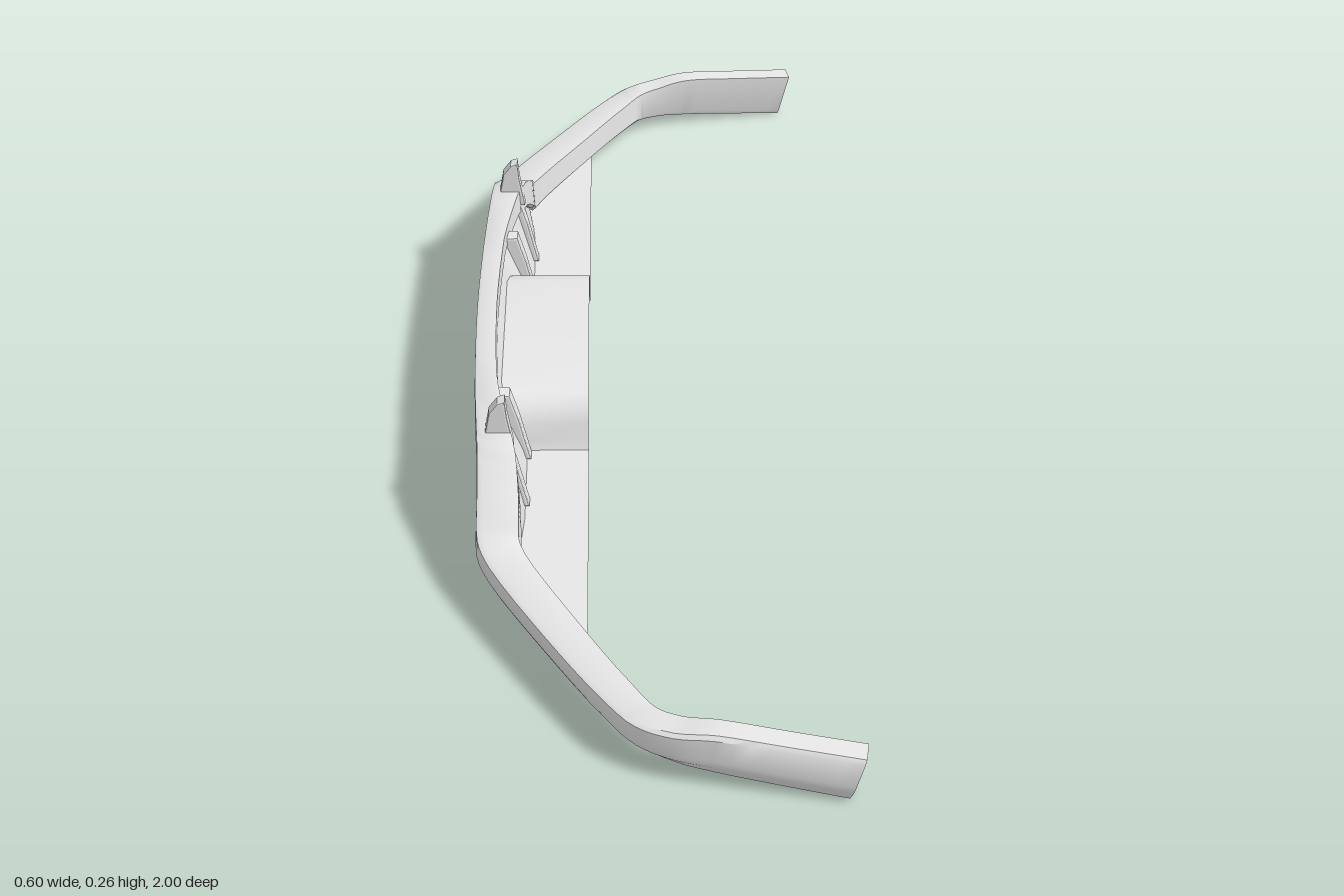
import * as THREE from 'three';
import { toCreasedNormals } from 'three/addons/utils/BufferGeometryUtils.js';

// Half of the bar: outer x, z, bottom y, top y, depth
const STATIONS = [
  [-0.295, 0, 0.163, 0.195, 0.036],
  [-0.291, 0.2, 0.163, 0.195, 0.038],
  [-0.284, 0.34, 0.155, 0.2, 0.052],
  [-0.281, 0.39, 0.14, 0.194, 0.062],
  [-0.28, 0.46, 0.092, 0.152, 0.07],
  [-0.278, 0.53, 0.05, 0.112, 0.07],
  [-0.258, 0.58, 0.044, 0.101, 0.066],
  [-0.17, 0.73, 0.041, 0.093, 0.062],
  [-0.085, 0.86, 0.036, 0.09, 0.056],
  [-0.035, 0.92, 0.032, 0.09, 0.05],
  [0.02, 0.948, 0.027, 0.093, 0.046],
  [0.08, 0.962, 0.021, 0.101, 0.042],
  [0.18, 0.98, 0.011, 0.094, 0.041],
  [0.285, 0.998, 0.001, 0.086, 0.041],
];

function build(positions, index, crease) {
  const g = new THREE.BufferGeometry();
  g.setAttribute('position', new THREE.Float32BufferAttribute(positions, 3));
  g.setIndex(index);
  return toCreasedNormals(g, crease);
}

// Surface between two rows of points
function strip(a, b) {
  const pos = [], idx = [], n = a.length;
  [...a, ...b].forEach((p) => pos.push(...p));
  for (let i = 0; i < n - 1; i++) idx.push(i, i + 1, n + i, i + 1, n + i + 1, n + i);
  return build(pos, idx, 0.6);
}

// Bar swept through the mirrored stations
function barGeometry() {
  const all = [
    ...STATIONS.slice(1).reverse().map(([x, z, ...r]) => [x, -z, ...r]),
    ...STATIONS,
  ];
  const path = new THREE.CatmullRomCurve3(all.map((s) => new THREE.Vector3(s[0], 0, s[1])));
  const size = new THREE.CatmullRomCurve3(all.map((s) => new THREE.Vector3(s[2], s[3], s[4])));
  // Depth and height of each corner, as fractions
  const section = [
    [0.16, 1], [0.03, 0.92], [0, 0.42], [0.06, 0.26], [0.36, 0], [0.92, 0], [1, 0.1], [0.96, 1],
  ];
  const steps = (all.length - 1) * 4, K = section.length, pos = [], idx = [];
  for (let i = 0; i <= steps; i++) {
    const u = i / steps;
    const p = path.getPoint(u), s = size.getPoint(u);
    const t = path.getPoint(Math.min(1, u + 0.004)).sub(path.getPoint(Math.max(0, u - 0.004))).normalize();
    const nx = t.z, nz = -t.x; // inward direction
    const h = s.y - s.x, d = s.z;
    const lean = Math.max(0, p.x) * 0.075; // slanted tips
    section.forEach(([f, v]) =>
      pos.push(p.x + nx * f * d + lean * (v - 0.6), s.x + v * h, p.z + nz * f * d));
  }
  for (let i = 0; i < steps; i++) {
    for (let j = 0; j < K; j++) {
      const a = i * K + j, b = i * K + (j + 1) % K;
      idx.push(a, b, a + K, b, b + K, a + K);
    }
  }
  const last = steps * K;
  for (let j = 1; j < K - 1; j++) {
    idx.push(0, j + 1, j);
    idx.push(last, last + j, last + j + 1);
  }
  return build(pos, idx, 0.65);
}

// Station values at any |z|, interpolated
function stationAt(z) {
  const a = Math.abs(z);
  const i = STATIONS.findIndex((s) => s[1] > a);
  const p = STATIONS[i - 1], q = STATIONS[i];
  return p.map((v, k) => v + (q[k] - v) * (a - p[1]) / (q[1] - p[1]));
}

// Extruded side profile in x and y, centred on z
function profile(points, width, bevel) {
  const g = new THREE.ExtrudeGeometry(new THREE.Shape(points.map((p) => new THREE.Vector2(...p))), {
    depth: width - 2 * bevel, bevelEnabled: true, bevelSize: bevel, bevelThickness: bevel,
    bevelOffset: -bevel, bevelSegments: 2,
  });
  g.translate(0, 0, -width / 2 + bevel);
  return g;
}

export function createModel() {
  const group = new THREE.Group();
  const grey = new THREE.MeshStandardMaterial({ color: 0xf2f2f2, side: THREE.DoubleSide });
  grey.name = 'pale grey';
  const add = (name, geometry, z = 0) => {
    const mesh = new THREE.Mesh(geometry, grey);
    mesh.name = name;
    mesh.position.z = z;
    group.add(mesh);
  };

  add('bumperBar', barGeometry());

  // Lower plate with a raised arch: z, y, rear x
  const plate = [
    [0, 0.136, -0.25], [0.15, 0.136, -0.25], [0.175, 0.131, -0.245], [0.195, 0.116, -0.235],
    [0.208, 0.092, -0.225], [0.214, 0.06, -0.212], [0.22, 0.045, -0.207], [0.35, 0.045, -0.207],
    [0.4, 0.045, -0.207], [0.46, 0.045, -0.212], [0.54, 0.045, -0.222], [0.6, 0.045, -0.2],
    [0.73, 0.045, -0.115],
  ];
  const full = [...plate.slice(1).reverse().map(([z, ...r]) => [-z, ...r]), ...plate];
  add('archedPlate', strip(
    full.map(([z, y, x]) => [x, y, z]),
    full.map(([z, y]) => [-0.104, y, z])));

  // Sloping inner wall from the bar down to the plate
  const wall = full.filter(([z]) => Math.abs(z) < 0.55);
  const upper = wall.map(([z]) => {
    const [x, , low, , depth] = stationAt(z);
    return [x + depth * 0.85, Math.max(0.05, low + 0.012), z];
  });
  add('innerWall', strip(upper, wall.map(([z, y, x]) => [x, y, z])));

  // Ribs and pegs on both sides
  const rib = profile(
    [[-0.278, 0.18], [-0.27, 0.1], [-0.235, 0.05], [-0.2, 0.047], [-0.218, 0.13], [-0.232, 0.18]], 0.028, 0.004);
  const peg = profile(
    [[-0.272, 0.17], [-0.26, 0.235], [-0.246, 0.254], [-0.234, 0.258], [-0.231, 0.225], [-0.222, 0.17]], 0.024, 0.003);
  for (const side of [-1, 1]) {
    add('innerRib', rib, side * 0.235);
    add('outerRib', rib, side * 0.358);
    add('mountingPeg', peg, side * 0.358);
  }
  return group;
}
